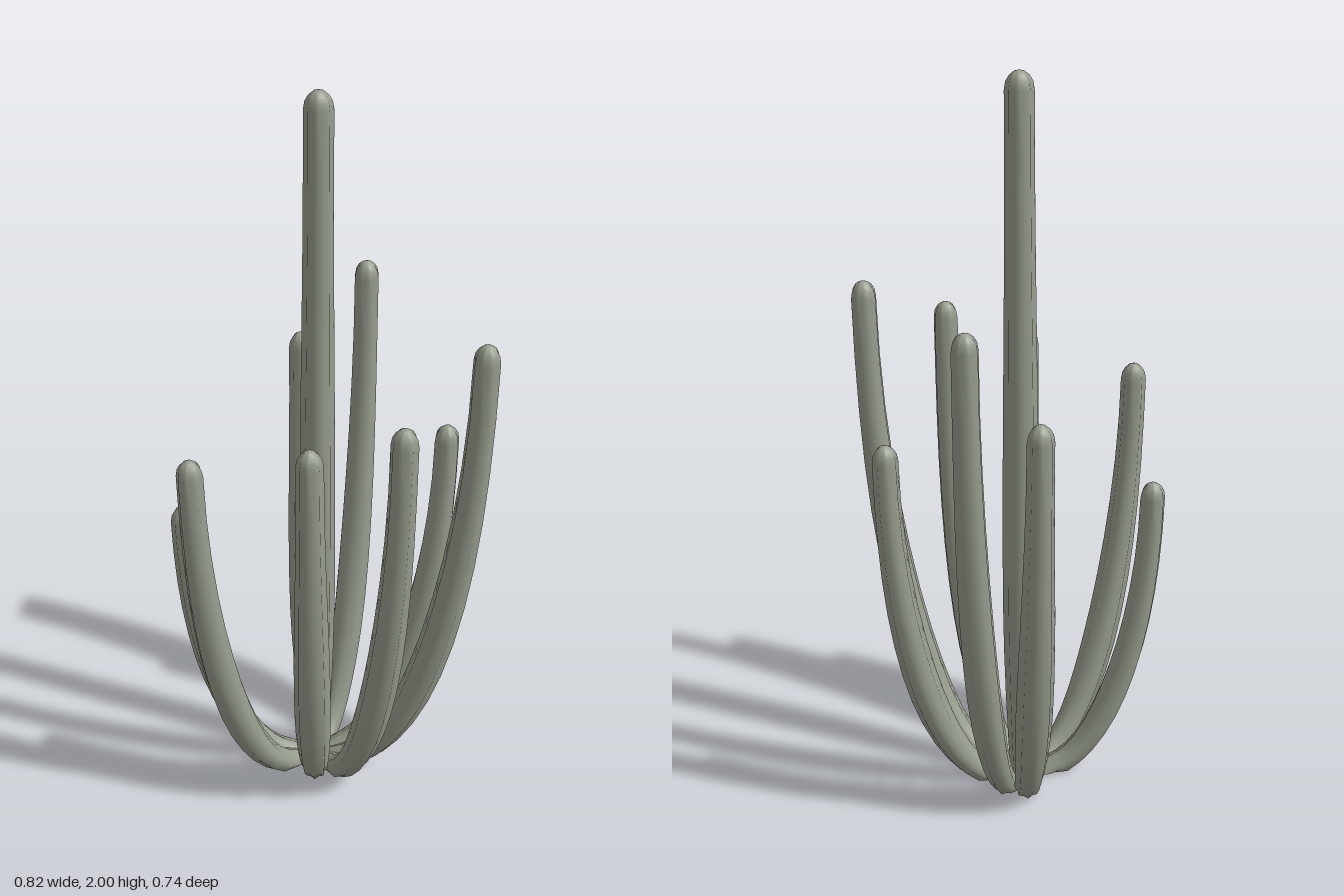
import * as THREE from 'three';

const RIBS = 8, SIDES = RIBS * 2, STEPS = 14;
const BASE = new THREE.Vector3(-0.027, 0, -0.024);
const UP = new THREE.Vector3(0, 1, 0);

// Stem thickness along its length: narrow foot, full belly, slim tip
function thickness(t, belly, tip) {
  if (t < 0.3) return THREE.MathUtils.lerp(0.034, belly, Math.sin((t / 0.3) * Math.PI / 2));
  return THREE.MathUtils.lerp(belly, tip, THREE.MathUtils.smoothstep(t, 0.3, 1));
}

// Ribbed stem that leaves the base and bends upright along a quarter ellipse
function stemGeometry(tipX, tipZ, height, start, belly, tip) {
  const dir = new THREE.Vector3(tipX - BASE.x, 0, tipZ - BASE.z);
  const reach = dir.length() - start;
  dir.normalize();
  const side = new THREE.Vector3().crossVectors(UP, dir);
  const dome = 0.045, rise = height - dome;
  const pos = [], index = [];

  const addRing = (r, y, tilt, radius) => {
    const u = dir.clone().multiplyScalar(Math.cos(tilt)).addScaledVector(UP, -Math.sin(tilt));
    for (let j = 0; j < SIDES; j++) {
      const a = (j / SIDES) * Math.PI * 2;
      const rr = radius * (j % 2 ? 0.84 : 1);
      const p = BASE.clone().addScaledVector(dir, r)
        .addScaledVector(u, rr * Math.cos(a)).addScaledVector(side, rr * Math.sin(a));
      pos.push(p.x, Math.max(0, p.y + y), p.z);
    }
  };

  // body rings
  for (let i = 0; i <= STEPS; i++) {
    const t = i / STEPS, th = t * Math.PI / 2;
    const straight = start === 0;
    const r = straight ? reach * t : start + reach * Math.sin(th);
    const y = straight ? rise * t : rise * (1 - Math.cos(th));
    const tilt = straight || i === 0 ? 0 : Math.atan2(reach * Math.cos(th), rise * Math.sin(th));
    addRing(r, y, tilt, thickness(y / rise, belly, tip));
  }
  // rounded tip
  for (const a of [0.45, 0.85, 1.2]) {
    addRing(start + reach, rise + dome * Math.sin(a), 0, tip * Math.cos(a));
  }
  const rings = pos.length / 3 / SIDES;
  for (let i = 0; i < rings - 1; i++) {
    for (let j = 0; j < SIDES; j++) {
      const k = (j + 1) % SIDES, a = i * SIDES, b = a + SIDES;
      index.push(a + j, a + k, b + j, a + k, b + k, b + j);
    }
  }
  const apex = pos.length / 3, last = (rings - 1) * SIDES;
  pos.push(tipX, height, tipZ);
  for (let j = 0; j < SIDES; j++) index.push(last + j, last + (j + 1) % SIDES, apex);

  // flat foot with its own vertices for a sharp rim
  const foot = apex + 1;
  pos.push(...pos.slice(0, SIDES * 3));
  const c = BASE.clone().addScaledVector(dir, start);
  pos.push(c.x, 0, c.z);
  for (let j = 0; j < SIDES; j++) index.push(foot + (j + 1) % SIDES, foot + j, foot + SIDES);

  const g = new THREE.BufferGeometry();
  g.setAttribute('position', new THREE.Float32BufferAttribute(pos, 3));
  g.setIndex(index);
  g.computeVertexNormals();
  return g;
}

export function createModel() {
  const group = new THREE.Group();
  group.name = 'cactus';
  const green = new THREE.MeshStandardMaterial({ color: 0x969d8e });
  green.name = 'greyGreen';

  const add = (name, ...args) => {
    const mesh = new THREE.Mesh(stemGeometry(...args), green);
    mesh.name = name;
    group.add(mesh);
  };

  // tall central stem
  add('centralStem', -0.015, -0.035, 2, 0, 0.05, 0.036);

  // curved outer arms: tip x, tip z, height, belly radius
  const arms = [
    [-0.045, -0.34, 1.24, 0.05],
    [0.13, -0.308, 1.46, 0.047],
    [0.33, -0.08, 1.08, 0.047],
    [0.375, 0.162, 1.44, 0.048],
    [0.16, 0.337, 1.32, 0.048],
    [-0.06, 0.303, 1.25, 0.05],
    [-0.348, 0.207, 1.175, 0.047],
    [-0.38, 0.005, 0.91, 0.041],
  ];
  arms.forEach(([x, z, h, belly], i) => add('arm' + (i + 1), x, z, h, 0.05, belly, 0.034));
  return group;
}
